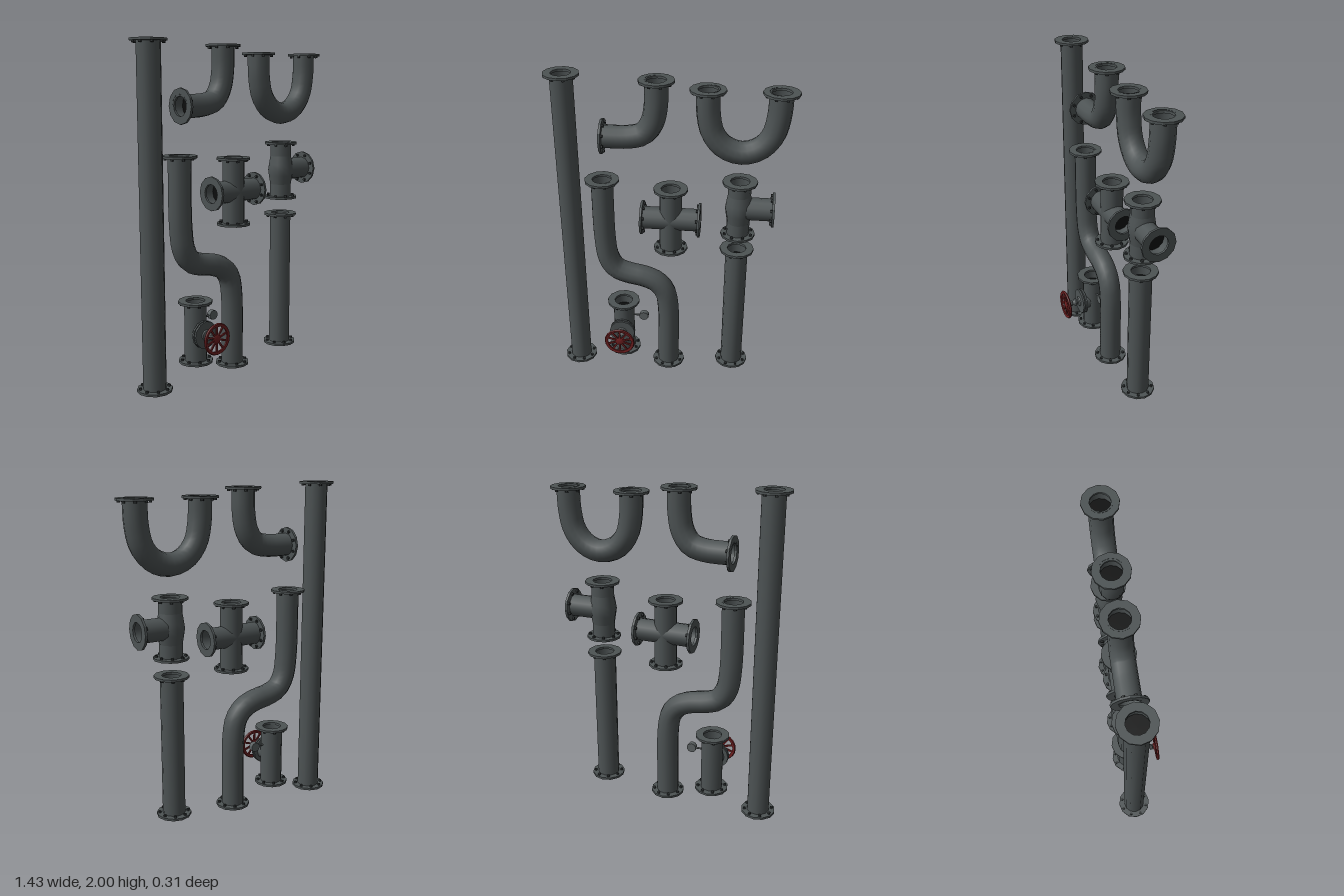
import * as THREE from 'three';
import { toCreasedNormals } from 'three/addons/utils/BufferGeometryUtils.js';

const R = 0.068;          // pipe radius
const BORE = 0.058;       // flange opening
const FLANGE_R = 0.104;
const PLATE = 0.014;      // flange thickness
const PIPE_Z = -0.05;     // all pipes share one plane
const SIDES = 12;
const V = (x, y, z = 0) => new THREE.Vector3(x, y, z);

export function createModel() {
  const model = new THREE.Group();
  model.name = 'pipeSet';

  const mat = (name, color, side = THREE.FrontSide) => {
    const m = new THREE.MeshStandardMaterial({ color, side });
    m.name = name;
    return m;
  };
  const iron = mat('iron grey', 0x4d5354, THREE.DoubleSide);
  const boltDark = mat('bolt dark grey', 0x2e3233);
  const black = mat('bore black', 0x0c0d0d, THREE.DoubleSide);
  const red = mat('wheel red', 0x6e1f20);
  const steel = mat('stem steel', 0x5c6263);

  const add = (parent, name, geometry, material) => {
    const mesh = new THREE.Mesh(geometry, material);
    mesh.name = name;
    parent.add(mesh);
    return mesh;
  };
  const section = (name) => {
    const g = new THREE.Group();
    g.name = name;
    g.position.z = PIPE_Z;
    model.add(g);
    return g;
  };

  // Shared flange plate: a polygon ring whose outer face lies at y = 0
  const ringGeometry = (outer, inner, depth) => {
    const polygon = (r) => Array.from({ length: SIDES }, (_, i) => {
      const a = (i / SIDES) * Math.PI * 2;
      return new THREE.Vector2(Math.cos(a) * r, Math.sin(a) * r);
    });
    const shape = new THREE.Shape(polygon(outer));
    if (inner) shape.holes.push(new THREE.Path(polygon(inner)));
    return new THREE.ExtrudeGeometry(shape, { depth, bevelEnabled: false });
  };
  const plateGeo = ringGeometry(FLANGE_R, BORE, PLATE).rotateX(-Math.PI / 2).translate(0, -PLATE, 0);
  const boltGeo = new THREE.CylinderGeometry(0.009, 0.009, 0.012, 6);
  const boreGeo = new THREE.CircleGeometry(R - 0.002, SIDES).rotateX(-Math.PI / 2);

  // Flange with bolts on the pipe side and a dark bore deeper inside
  function addFlange(parent, position, outward) {
    const flange = new THREE.Group();
    flange.name = 'flange';
    add(flange, 'flangePlate', plateGeo, iron);
    for (let i = 0; i < 8; i++) {
      const a = ((i + 0.5) / 8) * Math.PI * 2;
      const bolt = add(flange, 'bolt', boltGeo, boltDark);
      bolt.position.set(Math.cos(a) * 0.085, -PLATE - 0.005, Math.sin(a) * 0.085);
    }
    add(flange, 'bore', boreGeo, black).position.y = -0.07;
    flange.position.copy(position);
    flange.quaternion.setFromUnitVectors(V(0, 1, 0), outward);
    parent.add(flange);
  }

  // Pipe through a list of points, flanged at both ends
  function addPipe(name, points, startDir, endDir, steps) {
    const g = section(name);
    const curve = points.length === 2
      ? new THREE.LineCurve3(points[0], points[1])
      : new THREE.CatmullRomCurve3(points, false, 'centripetal');
    add(g, 'pipeBody', new THREE.TubeGeometry(curve, steps, R, SIDES), iron);
    addFlange(g, points[0], startDir);
    addFlange(g, points[points.length - 1], endDir);
    return g;
  }

  const UP = V(0, 1, 0), DOWN = V(0, -1, 0), LEFT = V(1, 0, 0), RIGHT = V(-1, 0, 0);

  // Straight pipes
  addPipe('longPipe', [V(-0.614, 0), V(-0.614, 2)], DOWN, UP, 1);
  addPipe('shortPipe', [V(0.407, 0.055), V(0.407, 0.93)], DOWN, UP, 1);

  // Elbow
  addPipe('elbowPipe', [
    V(-0.08, 1.982), V(-0.084, 1.83), V(-0.105, 1.73), V(-0.155, 1.66),
    V(-0.235, 1.635), V(-0.405, 1.63),
  ], UP, RIGHT, 18);

  // U bend, mirrored about its middle
  const mid = 0.407;
  const half = [[0.201, 1.94], [0.195, 1.79], [0.168, 1.68], [0.1, 1.6]];
  addPipe('uBendPipe', [
    ...half.map(([d, y]) => V(mid - d, y)),
    V(mid, 1.568),
    ...half.slice().reverse().map(([d, y]) => V(mid + d, y)),
  ], UP, UP, 24);

  // Offset S bend
  addPipe('offsetPipe', [
    V(-0.413, 1.353), V(-0.409, 0.93), V(-0.39, 0.8), V(-0.345, 0.727), V(-0.27, 0.695),
    V(-0.17, 0.675), V(-0.09, 0.64), V(-0.04, 0.58), V(-0.018, 0.48), V(-0.013, 0.013),
  ], UP, DOWN, 40);

  // Four-way cross
  const cross = addPipe('crossPipe', [V(0, 0.9), V(0, 1.315)], DOWN, UP, 1);
  add(cross, 'crossArm', new THREE.TubeGeometry(
    new THREE.LineCurve3(V(-0.18, 1.108), V(0.18, 1.108)), 1, R, SIDES), iron);
  addFlange(cross, V(-0.18, 1.108), RIGHT);
  addFlange(cross, V(0.18, 1.108), LEFT);

  // Tee with a swollen middle
  const tee = addPipe('teePipe', [V(mid, 1.026), V(mid, 1.387)], DOWN, UP, 1);
  const swell = [[R, -0.09], [0.077, -0.035], [0.082, 0], [0.077, 0.035], [R, 0.09]]
    .map(([r, y]) => new THREE.Vector2(r, y));
  add(tee, 'teeSwell', new THREE.LatheGeometry(swell, SIDES), iron).position.set(mid, 1.208, 0);
  add(tee, 'teeArm', new THREE.TubeGeometry(
    new THREE.LineCurve3(V(mid, 1.208), V(0.616, 1.208)), 1, R, SIDES), iron);
  addFlange(tee, V(0.616, 1.208), LEFT);

  // Valve body
  const vx = -0.307, vy = 0.288;
  const valve = addPipe('valve', [V(vx, 0.098), V(vx, 0.479)], DOWN, UP, 1);

  // Bonnet, stem and hand wheel, built along +z from the pipe axis
  const front = new THREE.Group();
  front.name = 'valveFront';
  front.position.set(vx, vy, 0);
  valve.add(front);
  const turned = (profile, sides) => toCreasedNormals(new THREE.LatheGeometry(
    profile.map(([r, y]) => new THREE.Vector2(r, y)), sides).rotateX(Math.PI / 2), 0.6);
  add(front, 'bonnetNeck', turned([[0.058, 0], [0.058, 0.09]], SIDES), iron);
  for (const z of [0.07, 0.089])
    add(front, 'bonnetPlate', ringGeometry(0.083, 0, 0.012), iron).position.z = z;
  add(front, 'stem', turned([
    [0.035, 0.1], [0.03, 0.108], [0.012, 0.112], [0.012, 0.118], [0.023, 0.122], [0.025, 0.134],
    [0.014, 0.145], [0.011, 0.15], [0.02, 0.156], [0.02, 0.168], [0.01, 0.176], [0.01, 0.2], [0, 0.2],
  ], 10), steel);

  const wheel = new THREE.Group();
  wheel.name = 'handWheel';
  front.add(wheel);
  add(wheel, 'wheelRim', turned([
    [0.076, 0.193], [0.092, 0.19], [0.097, 0.198], [0.092, 0.206], [0.076, 0.203], [0.076, 0.193],
  ], 20), red);
  add(wheel, 'wheelHub', turned([
    [0, 0.178], [0.02, 0.178], [0.028, 0.188], [0.026, 0.2], [0.014, 0.205], [0, 0.205],
  ], 12), red);
  const spokeGeo = new THREE.BoxGeometry(0.064, 0.011, 0.009).translate(0.05, 0, 0.195);
  for (let i = 0; i < 10; i++)
    add(wheel, 'spoke', spokeGeo, red).rotation.z = ((i + 0.5) / 10) * Math.PI * 2;

  // Small side gauge on a thin rod
  add(valve, 'gaugeRod', new THREE.CylinderGeometry(0.006, 0.006, 0.09, 6).rotateZ(Math.PI / 2), steel)
    .position.set(-0.235, 0.363, 0);
  add(valve, 'gauge', toCreasedNormals(
    new THREE.CylinderGeometry(0.03, 0.03, 0.03, 10).rotateX(Math.PI / 2), 0.7), steel)
    .position.set(-0.175, 0.363, 0);

  return model;
}
